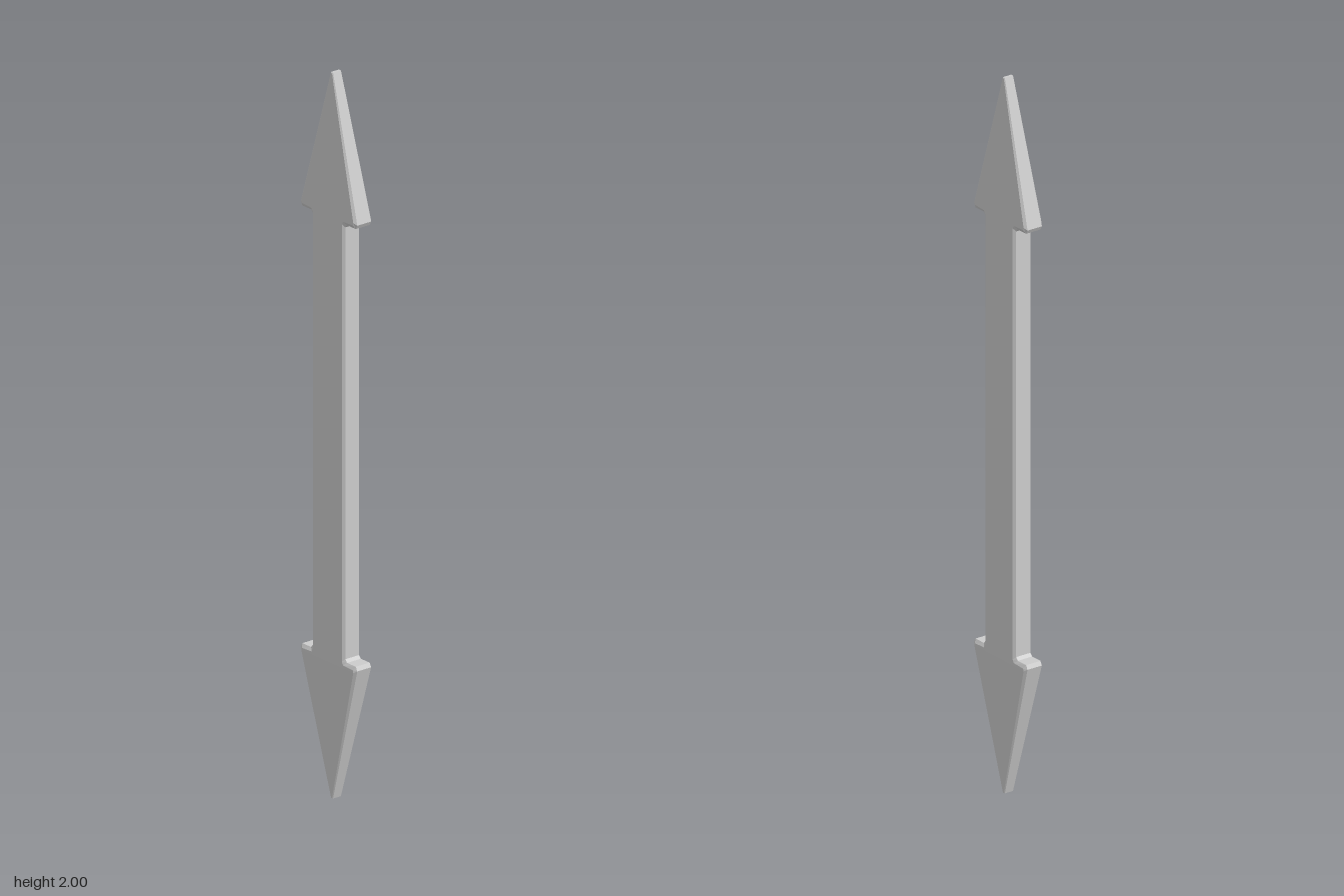
import * as THREE from 'three';

// Upper right quarter of the outline, from tip to shaft:
// outer x, y, z of the side wall edge, then inner x, y, z of the face edge
const QUARTER = [
  [0, 2, 0.013, 0, 1.998, 0.015],
  [0.004, 2, 0.013, 0.002, 1.998, 0.015],
  [0.113, 1.614, 0.023, 0.104, 1.62, 0.029],
  [0.107, 1.603, 0.023, 0.102, 1.613, 0.029],
  [0.072, 1.603, 0.023, 0.063, 1.611, 0.029],
  [0.065, 1.595, 0.023, 0.058, 1.603, 0.029],
];

// Mirror the quarter downwards to get the whole right-hand edge
function rightEdge() {
  const lower = QUARTER.map(([a, b, c, d, e, f]) => [a, 2 - b, c, d, 2 - e, f]).reverse();
  return [...QUARTER, ...lower].map(([a, b, c, d, e, f]) => ({
    outer: new THREE.Vector3(a, b, c),
    inner: new THREE.Vector3(d, e, f),
  }));
}

function doubleArrowGeometry() {
  const positions = [];
  const mirror = (p, sx, sz) => new THREE.Vector3(p.x * sx, p.y, p.z * sz);
  const quad = (corners, flip) => {
    const [a, b, c, d] = flip ? [...corners].reverse() : corners;
    for (const p of [a, b, c, a, c, d]) positions.push(p.x, p.y, p.z);
  };
  const edge = rightEdge();
  for (let i = 0; i < edge.length - 1; i++) {
    const p = edge[i], q = edge[i + 1];
    for (const sz of [1, -1]) {
      // Flat or tapering front and back faces
      quad([mirror(p.inner, -1, sz), mirror(q.inner, -1, sz),
        mirror(q.inner, 1, sz), mirror(p.inner, 1, sz)], sz < 0);
      // Bevels around the faces
      for (const sx of [1, -1]) {
        quad([p.inner, q.inner, q.outer, p.outer].map(v => mirror(v, sx, sz)), sx * sz < 0);
      }
    }
    // Side walls
    for (const sx of [1, -1]) {
      quad([mirror(p.outer, sx, 1), mirror(q.outer, sx, 1),
        mirror(q.outer, sx, -1), mirror(p.outer, sx, -1)], sx < 0);
    }
  }
  const geometry = new THREE.BufferGeometry();
  geometry.setAttribute('position', new THREE.Float32BufferAttribute(positions, 3));
  geometry.computeVertexNormals();
  return geometry;
}

export function createModel() {
  const group = new THREE.Group();
  group.name = 'doubleEndedArrow';
  const material = new THREE.MeshStandardMaterial({ color: 0xcccccc, flatShading: true });
  const arrow = new THREE.Mesh(doubleArrowGeometry(), material);
  arrow.name = 'shaftAndArrowheads';
  group.add(arrow);
  return group;
}
